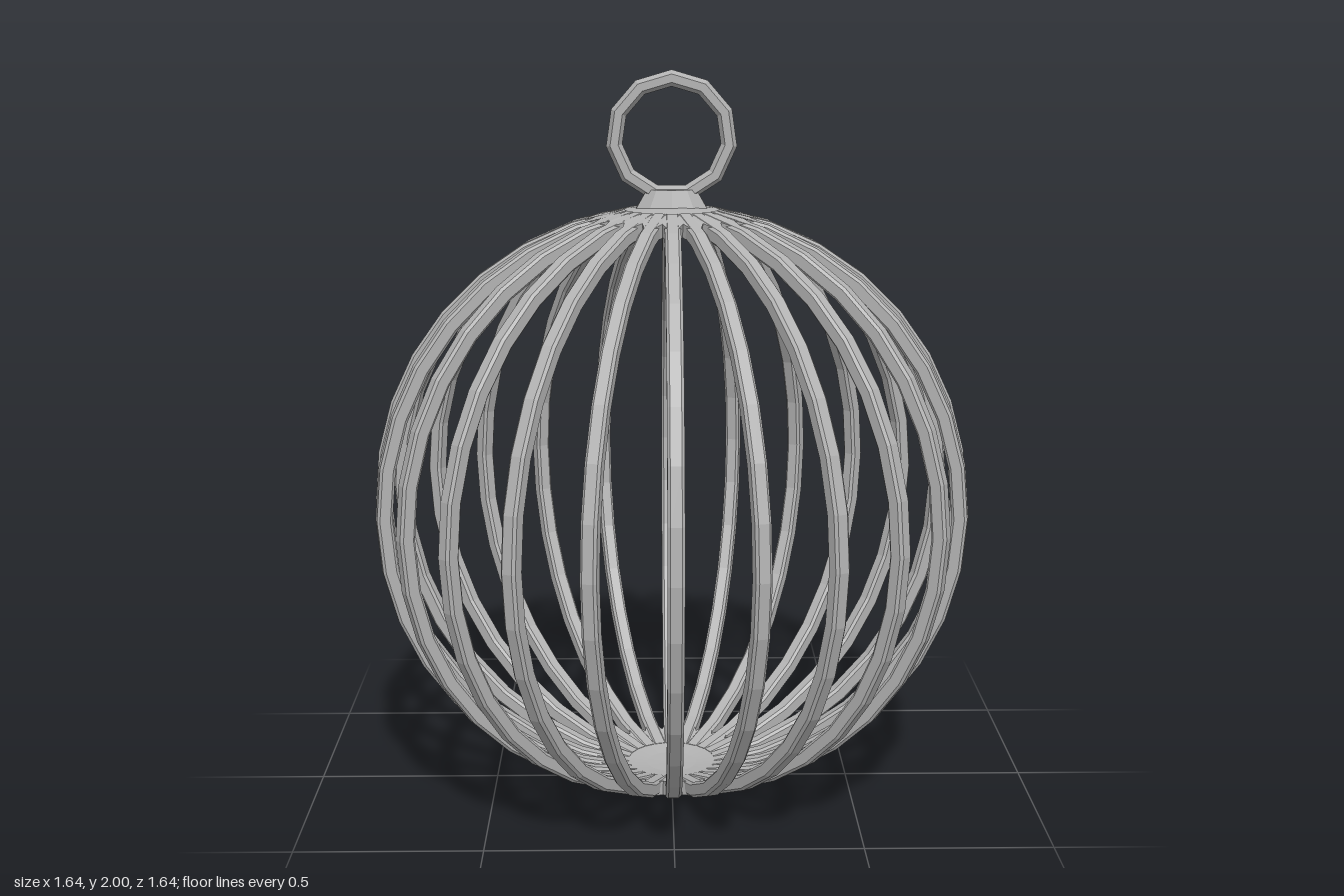
import * as THREE from 'three';

const R = 0.82, THICK = 0.042, WIDTH = 0.042, RIBS = 24, CENTER_Y = 0.824;

// Curved flat bar running from pole to pole, lightly chamfered
function ribGeometry() {
  const steps = 16, end = THREE.MathUtils.degToRad(81), outer = [], inner = [];
  for (let i = 0; i <= steps; i++) {
    const a = -end + (2 * end * i) / steps;
    outer.push(new THREE.Vector2(R * Math.cos(a), R * Math.sin(a)));
    inner.unshift(new THREE.Vector2((R - THICK) * Math.cos(a), (R - THICK) * Math.sin(a)));
  }
  const bevel = 0.007;
  const geo = new THREE.ExtrudeGeometry(new THREE.Shape([...outer, ...inner]), {
    depth: WIDTH - 2 * bevel, bevelEnabled: true, bevelSize: bevel,
    bevelThickness: bevel, bevelOffset: -bevel, bevelSegments: 1,
  });
  return geo.translate(0, 0, -WIDTH / 2 + bevel);
}

// Domed plate whose rim spreads outward along each rib
function capGeometry() {
  const angles = [0, 0.09, 0.18, 0.255];
  const at = (r, a) => new THREE.Vector2(r * Math.sin(a), r * Math.cos(a));
  const outerR = R - 0.002, innerR = R - THICK + 0.002;
  const profile = [
    ...angles.map((a) => at(innerR, a)),
    ...angles.slice().reverse().map((a) => at(outerR, a)),
  ];
  const geo = new THREE.LatheGeometry(profile, RIBS * 2);
  const p = geo.attributes.position, v = new THREE.Vector3();
  for (let i = 0; i < p.count; i++) {
    v.fromBufferAttribute(p, i);
    const polar = Math.atan2(Math.hypot(v.x, v.z), v.y);
    const theta = Math.atan2(v.z, v.x);
    if (polar > 0.22 && Math.cos(theta * RIBS) > 0) {
      const r = v.length(), a = 0.33;
      p.setXYZ(i, r * Math.sin(a) * Math.cos(theta), r * Math.cos(a), r * Math.sin(a) * Math.sin(theta));
    }
  }
  geo.computeVertexNormals();
  return geo;
}

export function createModel() {
  const model = new THREE.Group();
  model.name = 'cageOrnament';
  const grey = new THREE.MeshStandardMaterial({ color: 0xb2b2b2, flatShading: true });
  grey.name = 'grey metal';

  const add = (parent, name, geo) => {
    const mesh = new THREE.Mesh(geo, grey);
    mesh.name = name;
    parent.add(mesh);
    return mesh;
  };

  // Spherical cage
  const cage = new THREE.Group();
  cage.name = 'cage';
  cage.position.y = CENTER_Y;
  model.add(cage);
  const rib = ribGeometry();
  for (let i = 0; i < RIBS; i++) {
    add(cage, 'rib', rib).rotation.y = (i / RIBS) * Math.PI * 2;
  }
  const cap = capGeometry();
  add(cage, 'topCap', cap);
  add(cage, 'bottomCap', cap).rotation.x = Math.PI;

  // Hanging ring with a flared foot
  const ring = add(model, 'hangingRing', new THREE.TorusGeometry(0.155, 0.022, 6, 11));
  ring.position.y = 1.825;
  ring.rotation.z = Math.PI / 2;
  const foot = add(model, 'ringFoot', new THREE.CylinderGeometry(0.07, 0.1, 0.05, 10));
  foot.scale.z = 0.5;
  foot.position.y = 1.661;

  return model;
}
